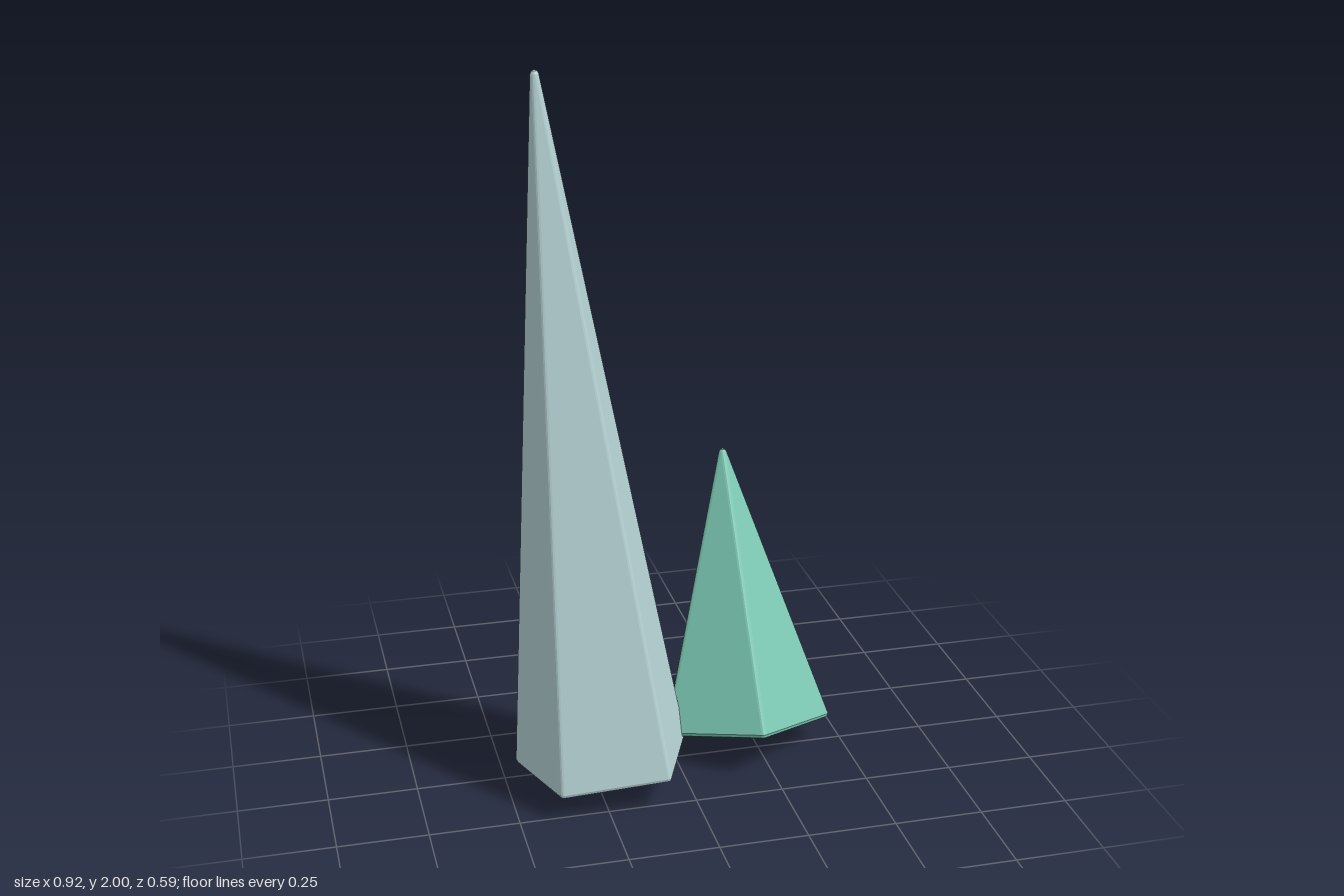
import * as THREE from 'three';

const SIDES = 5;
const BEVEL = 0.012;

// Five-sided spike along +y with softly rounded edges, base at y = 0
function spikeGeometry(radius, height, turn) {
  const core = radius - BEVEL;
  const levels = []; // [core radius, rounding radius, y]
  for (const t of [0, Math.PI / 4, Math.PI / 2]) {
    levels.push([core, BEVEL * Math.sin(t), BEVEL * (1 - Math.cos(t))]);
  }
  for (const t of [0, Math.PI / 4, Math.PI / 2]) {
    levels.push([0, BEVEL * Math.cos(t), height - BEVEL + BEVEL * Math.sin(t)]);
  }
  const half = Math.PI / SIDES;
  const rings = levels.map(([c, r, y]) => {
    const ring = [];
    for (let i = 0; i < SIDES; i++) {
      const a = turn + i * 2 * half;
      for (const off of [-half, -half / 3, half / 3, half]) {
        ring.push(new THREE.Vector3(
          c * Math.sin(a) + r * Math.sin(a + off), y,
          c * Math.cos(a) + r * Math.cos(a + off)));
      }
    }
    return ring;
  });

  const points = [];
  const tri = (a, b, c) => {
    const area = b.clone().sub(a).cross(c.clone().sub(a)).length();
    if (area > 1e-9) points.push(a, b, c);
  };
  const n = rings[0].length;
  const baseCentre = new THREE.Vector3();
  for (let i = 0; i < n; i++) {
    const j = (i + 1) % n;
    tri(baseCentre, rings[0][j], rings[0][i]);
    for (let k = 0; k < rings.length - 1; k++) {
      const lo = rings[k], hi = rings[k + 1];
      tri(lo[i], lo[j], hi[j]);
      tri(lo[i], hi[j], hi[i]);
    }
  }
  const geometry = new THREE.BufferGeometry().setFromPoints(points);
  geometry.computeVertexNormals();
  return geometry;
}

// Leaning crystal from a base centre to a tip
function crystal(name, material, base, tip, radius, turn) {
  const axis = tip.clone().sub(base);
  const mesh = new THREE.Mesh(spikeGeometry(radius, axis.length(), turn), material);
  mesh.name = name;
  mesh.position.copy(base);
  mesh.quaternion.setFromUnitVectors(new THREE.Vector3(0, 1, 0), axis.normalize());
  return mesh;
}

export function createModel() {
  const paleBlue = new THREE.MeshStandardMaterial({ color: 0xb4d0d2, flatShading: true });
  paleBlue.name = 'pale blue crystal';
  const green = new THREE.MeshStandardMaterial({ color: 0x7ac6b0, flatShading: true });
  green.name = 'green crystal';

  const group = new THREE.Group();
  group.name = 'crystals';
  group.add(
    crystal('tallCrystal', paleBlue, new THREE.Vector3(-0.222, 0.062, 0.072),
      new THREE.Vector3(-0.345, 2, -0.125), 0.258, THREE.MathUtils.degToRad(33)),
    crystal('shortCrystal', green, new THREE.Vector3(0.214, 0.061, -0.056),
      new THREE.Vector3(0.214, 0.837, -0.29), 0.257, 0));
  return group;
}
